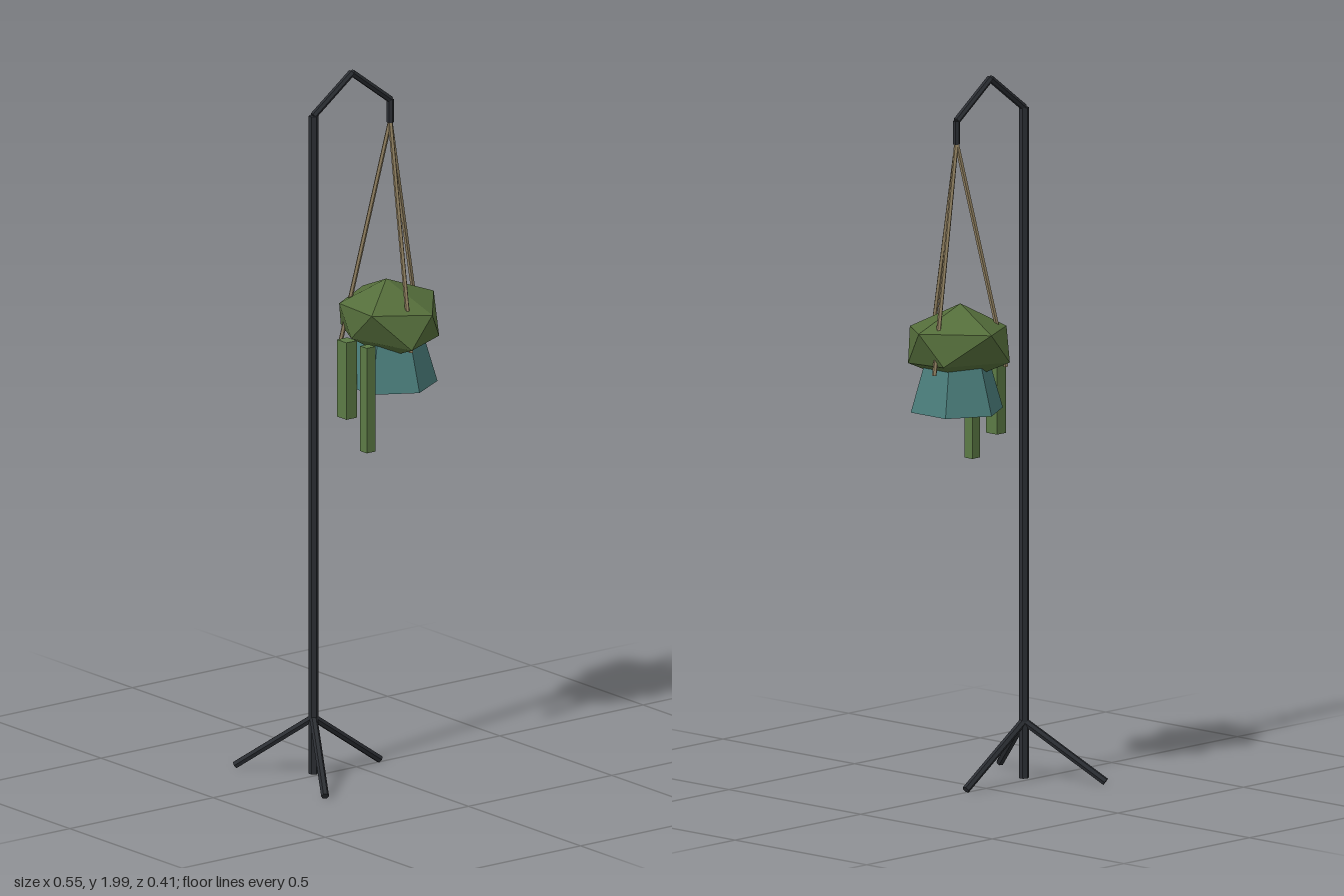
import * as THREE from 'three';
import { ConvexGeometry } from 'three/addons/geometries/ConvexGeometry.js';

const mat = (color) => new THREE.MeshStandardMaterial({ color, flatShading: true });
const V = (x, y, z) => new THREE.Vector3(x, y, z);

export function createModel() {
  const root = new THREE.Group();
  const iron = mat(0x2b2e33), rope = mat(0x8f7f60), leaf = mat(0x556e3b),
    vineMat = mat(0x5c7a45), glaze = mat(0x4a7c7a);

  const add = (name, geometry, material, parent = root) => {
    const mesh = new THREE.Mesh(geometry, material);
    mesh.name = name;
    parent.add(mesh);
    return mesh;
  };
  // straight rod between two points
  const rod = (name, a, b, radius, material, sides = 6) => {
    const dir = b.clone().sub(a);
    const mesh = add(name, new THREE.CylinderGeometry(radius, radius, dir.length(), sides), material);
    mesh.position.copy(a).lerp(b, 0.5);
    mesh.quaternion.setFromUnitVectors(V(0, 1, 0), dir.normalize());
    return mesh;
  };

  // Stand: pole, bent hook and three splayed legs
  const px = -0.15;
  rod('pole', V(px, 0.01, 0), V(px, 1.89, 0), 0.014, iron);
  const bend = [V(px, 1.89, 0), V(-0.016, 1.99, 0), V(0.118, 1.89, 0), V(0.118, 1.825, 0)];
  for (let i = 0; i < 3; i++) rod('hookArm', bend[i], bend[i + 1], 0.01, iron);
  for (let i = 0; i < 3; i++) {
    const t = (i * Math.PI * 2) / 3;
    rod('leg', V(px, 0.17, 0), V(px + 0.231 * Math.cos(t), 0.01, 0.231 * Math.sin(t)), 0.011, iron);
  }

  // Three hanging ropes spreading down to the pot
  for (let i = 0; i < 3; i++) {
    const t = THREE.MathUtils.degToRad(-17 + i * 120);
    rod('rope', V(0.118, 1.83, 0), V(0.118 + 0.136 * Math.cos(t), 1.2, 0.136 * Math.sin(t)), 0.0065, rope, 5);
  }

  // Six-sided pot, wider at the bottom
  add('pot', new THREE.CylinderGeometry(0.094, 0.132, 0.13, 6), glaze).position.set(0.117, 1.145, 0);

  // Foliage: a squashed, uneven twenty-sided clump
  const foliage = [
    V(0.108, 1.378, -0.005),
    V(0.272, 1.315, -0.003), V(0.15, 1.3, 0.147), V(-0.021, 1.315, 0.095), V(0, 1.31, -0.077), V(0.15, 1.315, -0.163),
    V(0.222, 1.215, 0.085), V(0.07, 1.215, 0.158), V(-0.018, 1.23, 0), V(0.06, 1.225, -0.147), V(0.24, 1.225, -0.067),
    V(0.11, 1.155, 0),
  ];
  add('foliage', new ConvexGeometry(foliage), leaf);

  // Trailing vines
  const vine = (w, d, bottom, x, z) =>
    add('vine', new THREE.BoxGeometry(w, 1.22 - bottom, d), vineMat).position.set(x, (1.22 + bottom) / 2, z);
  vine(0.03, 0.03, 0.92, -0.009, 0.062);
  vine(0.036, 0.042, 1.0, -0.016, -0.022);

  return root;
}
